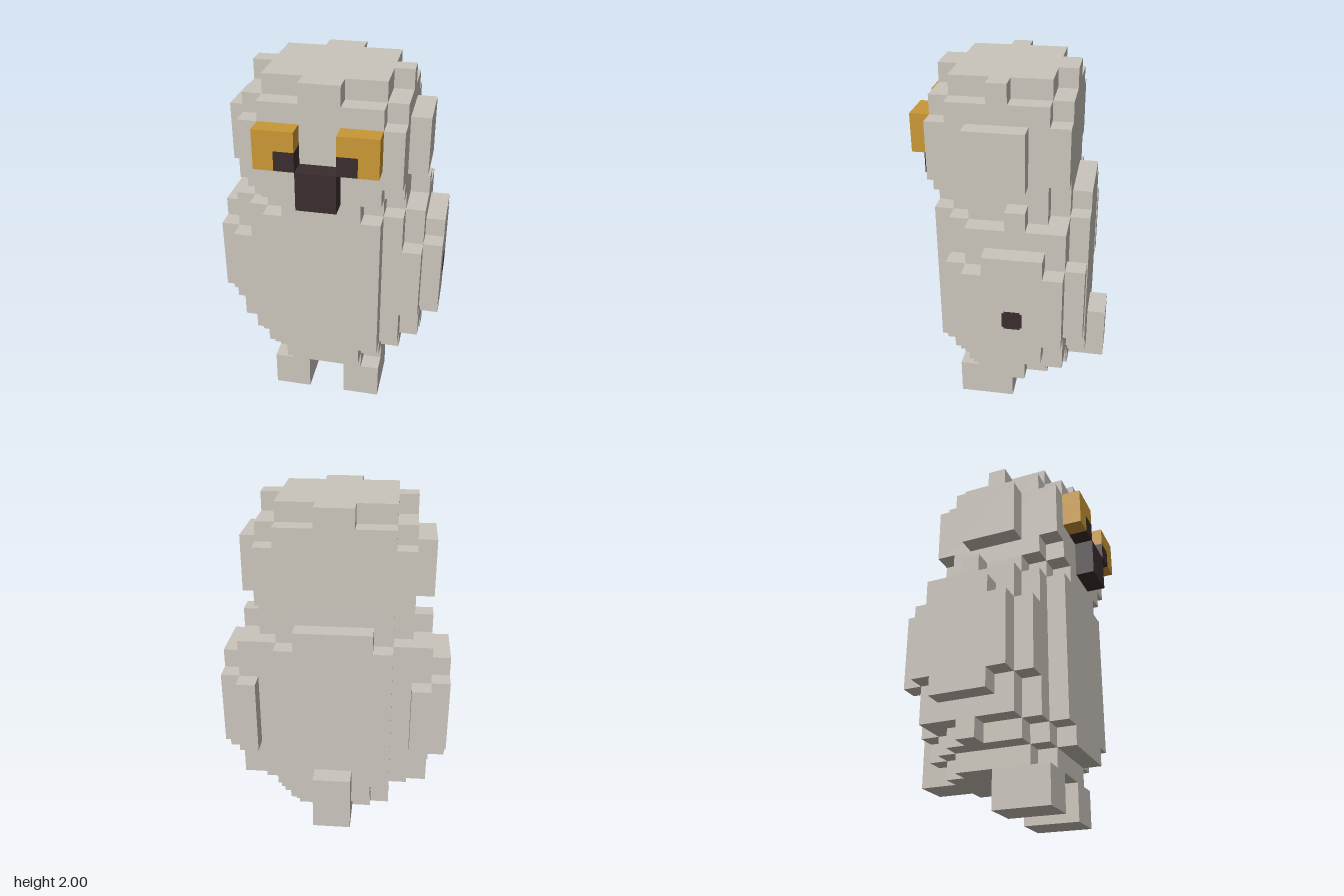
import * as THREE from 'three';
import { mergeGeometries } from 'three/addons/utils/BufferGeometryUtils.js';

const U = 2 / 19; // one block

const plumage = new THREE.MeshStandardMaterial({ color: 0xc9c4bb });
plumage.name = 'plumage';
const amber = new THREE.MeshStandardMaterial({ color: 0xc99735 });
amber.name = 'amber';
const dark = new THREE.MeshStandardMaterial({ color: 0x3a2c2e });
dark.name = 'dark';

// Box between two corners, in blocks
function block([x0, x1], [y0, y1], [z0, z1]) {
  const g = new THREE.BoxGeometry((x1 - x0) * U, (y1 - y0) * U, (z1 - z0) * U);
  return g.translate((x0 + x1) / 2 * U, (y0 + y1) / 2 * U, (z0 + z1) / 2 * U);
}

// Stepped, rounded mass: nested boxes around one centre, given as half extents
function steppedMass(cy, cz, halves) {
  return halves.map(([x, y, z]) => block([-x, x], [cy - y, cy + y], [cz - z, cz + z]));
}

export function createModel() {
  const model = new THREE.Group();
  const add = (name, material, boxes) => {
    const mesh = new THREE.Mesh(mergeGeometries(boxes), material);
    mesh.name = name;
    model.add(mesh);
  };

  add('body', plumage, steppedMass(8, 0, [
    [2, 5, 4], [3, 4, 4], [4, 4, 3], [3, 5, 3], [4, 5, 2], [2, 6, 3], [3, 6, 2],
  ]));

  add('head', plumage, steppedMass(15.5, 0.5, [
    [5, 1.5, 1.5], [4, 1.5, 3.5], [4, 2.5, 2.5], [4, 3.5, 0.5],
    [3, 2.5, 3.5], [3, 3.5, 2.5], [1, 3.5, 3.5],
  ]));

  add('tail', plumage, [block([-1, 1], [2, 5], [-5, -3])]);
  add('beak', dark, [block([-1, 1], [13, 15], [4, 5])]);

  for (const [side, s] of [['left', 1], ['right', -1]]) {
    const span = (a, b) => (s > 0 ? [a, b] : [-b, -a]);

    // Wing: inner and outer stepped discs
    add(side + 'Wing', plumage, [
      block(span(4, 5), [6, 10], [-4, 3]),
      block(span(4, 5), [4, 12], [-3, 2]),
      block(span(4, 5), [3, 13], [-1, 0]),
      block(span(5, 6), [6, 10], [-3, 2]),
      block(span(5, 6), [5, 11], [-2, 1]),
    ]);

    add(side + 'Leg', plumage, [block(span(1, 3), [0, 2], [0, 3])]);

    // Eye wraps around the pupil in its lower inner corner
    add(side + 'Eye', amber, [
      block(span(1, 3), [16, 17], [4, 5]),
      block(span(2, 3), [15, 16], [4, 5]),
    ]);
    add(side + 'Pupil', dark, [block(span(1, 2), [15, 16], [4, 5])]);
  }

  // Spot on the left wing, with slightly clipped corners
  add('wingSpot', dark, [
    block([6, 6.04], [7, 8], [-0.9, -0.1]),
    block([6, 6.04], [7.1, 7.9], [-1, 0]),
  ]);

  return model;
}
